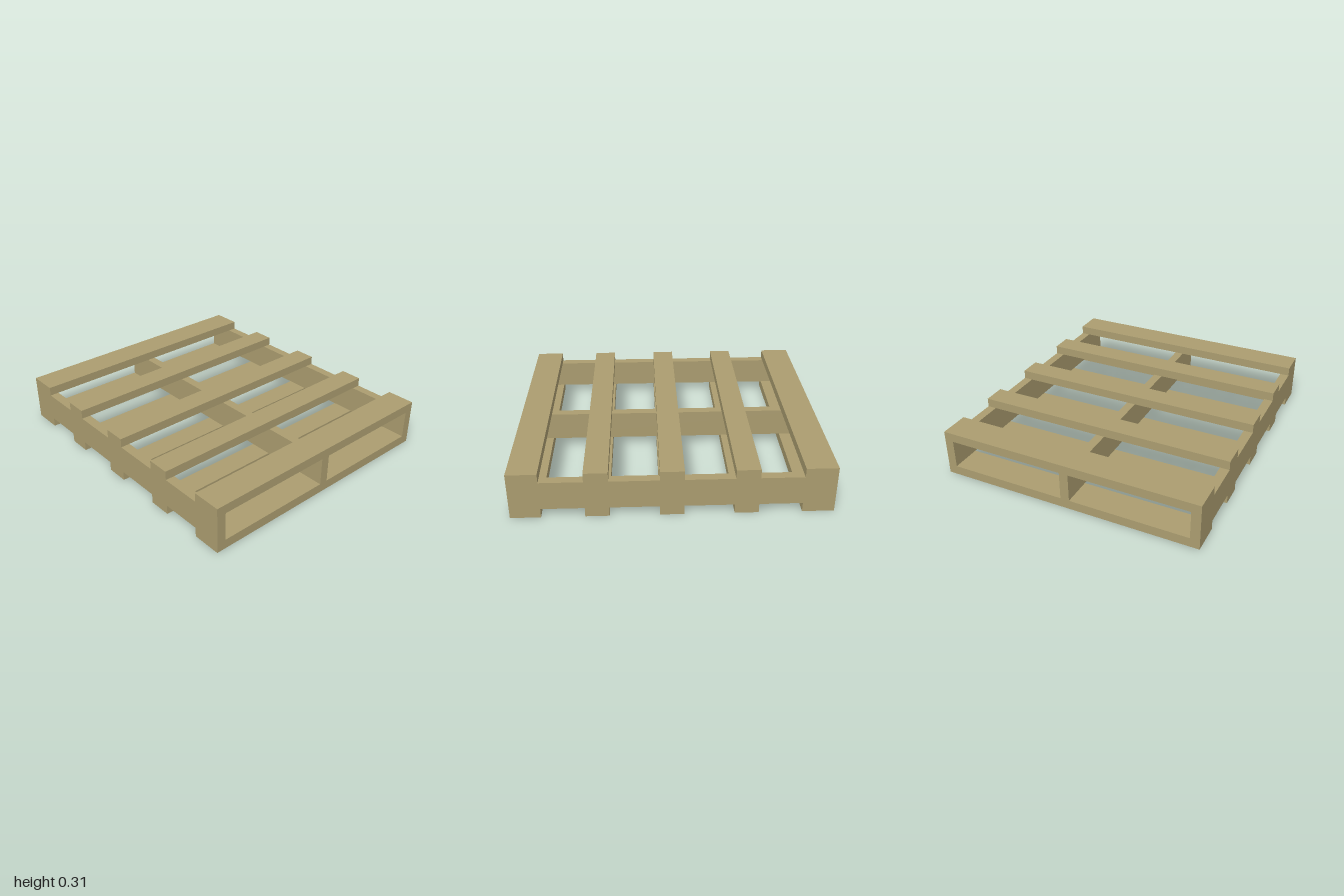
import * as THREE from 'three';

const wood = new THREE.MeshStandardMaterial({ color: 0xab9d70, flatShading: true });

// Box given by its minimum and maximum along each axis
function board(name, [x0, x1], [y0, y1], [z0, z1]) {
  const mesh = new THREE.Mesh(new THREE.BoxGeometry(x1 - x0, y1 - y0, z1 - z0), wood);
  mesh.position.set((x0 + x1) / 2, (y0 + y1) / 2, (z0 + z1) / 2);
  mesh.name = name;
  return mesh;
}

export function createModel() {
  const pallet = new THREE.Group();
  pallet.name = 'pallet';

  const depth = [-0.88, 0.88];
  const bottomY = [0, 0.062], stringerY = [0.062, 0.252], topY = [0.252, 0.312];

  // Deck boards run front to back, wide ones at both edges
  const slats = [[-1, -0.8], [-0.53, -0.38], [-0.07, 0.08], [0.39, 0.54], [0.81, 1]];
  slats.forEach((x, i) => {
    pallet.add(board(`topBoard${i + 1}`, x, topY, depth));
    pallet.add(board(`bottomBoard${i + 1}`, x, bottomY, depth));
  });

  // Three stringers run across between the decks
  const stringers = { backStringer: [-0.88, -0.82], middleStringer: [-0.035, 0.025], frontStringer: [0.818, 0.88] };
  for (const [name, z] of Object.entries(stringers)) {
    pallet.add(board(name, [-1, 1], stringerY, z));
  }
  return pallet;
}
